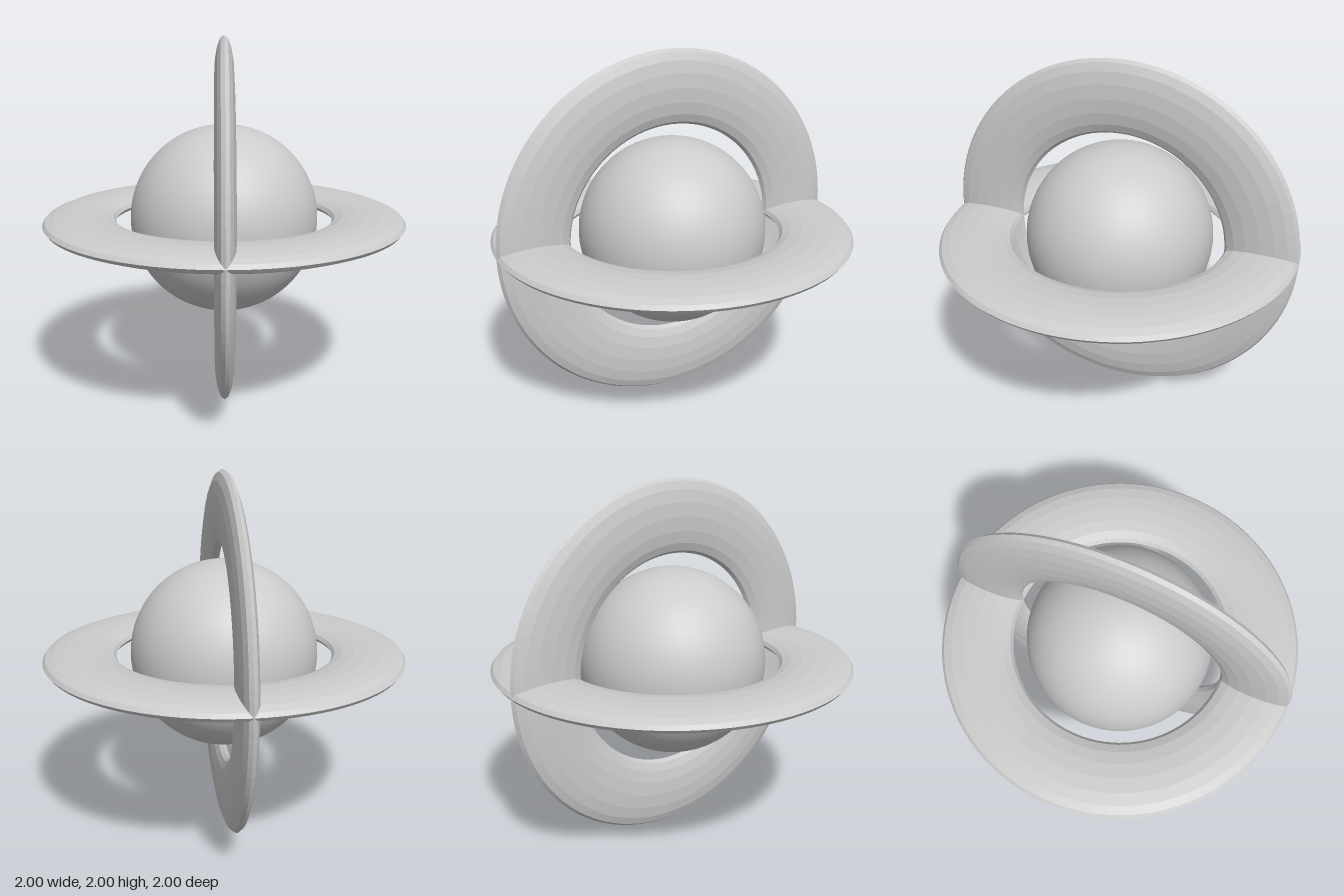
import * as THREE from 'three';

export function createModel() {
  const model = new THREE.Group();
  const smooth = new THREE.MeshStandardMaterial({ color: 0xcccccc });
  const faceted = new THREE.MeshStandardMaterial({ color: 0xcccccc, flatShading: true });

  // Central ball
  const core = new THREE.Mesh(new THREE.SphereGeometry(0.522, 64, 48), smooth);
  core.name = 'coreSphere';
  core.position.y = 1;
  model.add(core);

  // Two crossed rings: tori flattened along their axis
  const ringGeometry = new THREE.TorusGeometry(0.8, 0.2, 16, 96).scale(1, 1, 0.053 / 0.2);
  const addRing = (name, rx, ry) => {
    const ring = new THREE.Mesh(ringGeometry, faceted);
    ring.name = name;
    ring.position.y = 1;
    ring.rotation.set(rx, ry, 0);
    model.add(ring);
  };
  addRing('horizontalRing', Math.PI / 2, 0);
  addRing('verticalRing', 0, Math.PI / 2);

  return model;
}
